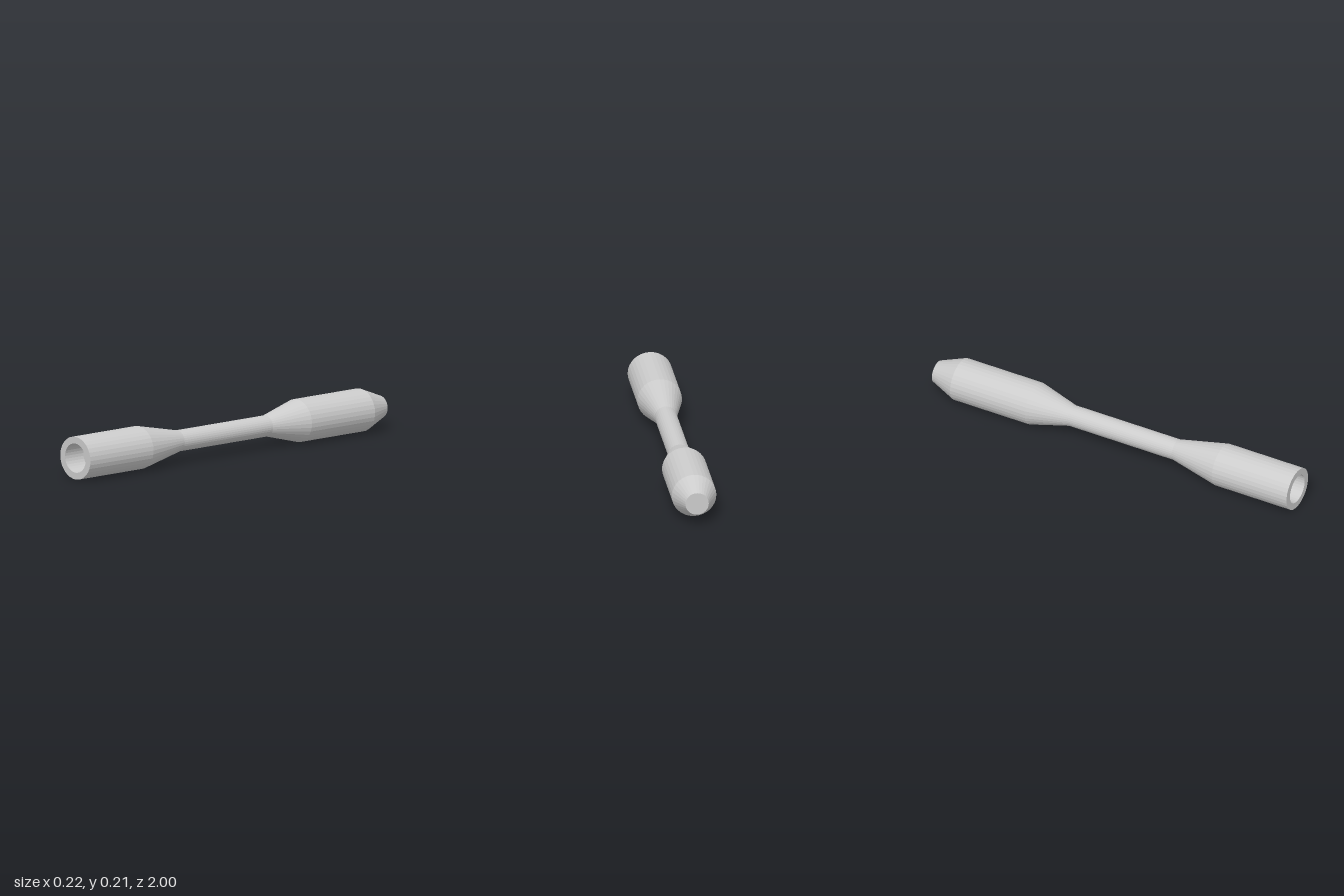
import * as THREE from 'three';

const SIDES = 32;
const CENTRE_Y = 0.108;
const SQUASH = 0.967; // cross-section is slightly lower than it is wide

export function createModel() {
  const group = new THREE.Group();
  group.name = 'handle';
  const material = new THREE.MeshStandardMaterial({ color: 0xcccccc, flatShading: true });

  // Turned section along z; profile is [radius, z] from back to front
  const addTurned = (name, profile) => {
    const points = profile.map(([r, z]) => new THREE.Vector2(r, z));
    const geometry = new THREE.LatheGeometry(points, SIDES);
    geometry.rotateX(Math.PI / 2);
    geometry.scale(1, SQUASH, 1);
    const mesh = new THREE.Mesh(geometry, material);
    mesh.name = name;
    mesh.position.y = CENTRE_Y;
    group.add(mesh);
  };

  const thick = 0.1095, thin = 0.054, bore = 0.075;

  // Rear grip with a blunt tapered tip
  addTurned('rearTip', [[0, -1], [0.057, -1], [thick, -0.87]]);
  addTurned('rearGrip', [[thick, -0.87], [thick, -0.455]]);
  addTurned('rearTaper', [[thick, -0.455], [thin, -0.25]]);

  // Slim middle shaft
  addTurned('shaft', [[thin, -0.25], [thin, 0.33]]);

  // Front grip, ending in a rim around a shallow blind bore
  addTurned('frontTaper', [[thin, 0.33], [thick, 0.585]]);
  addTurned('frontGrip', [[thick, 0.585], [thick, 1], [bore, 1]]);
  addTurned('frontBore', [[bore, 1], [bore, 0.88], [0, 0.88]]);

  return group;
}
